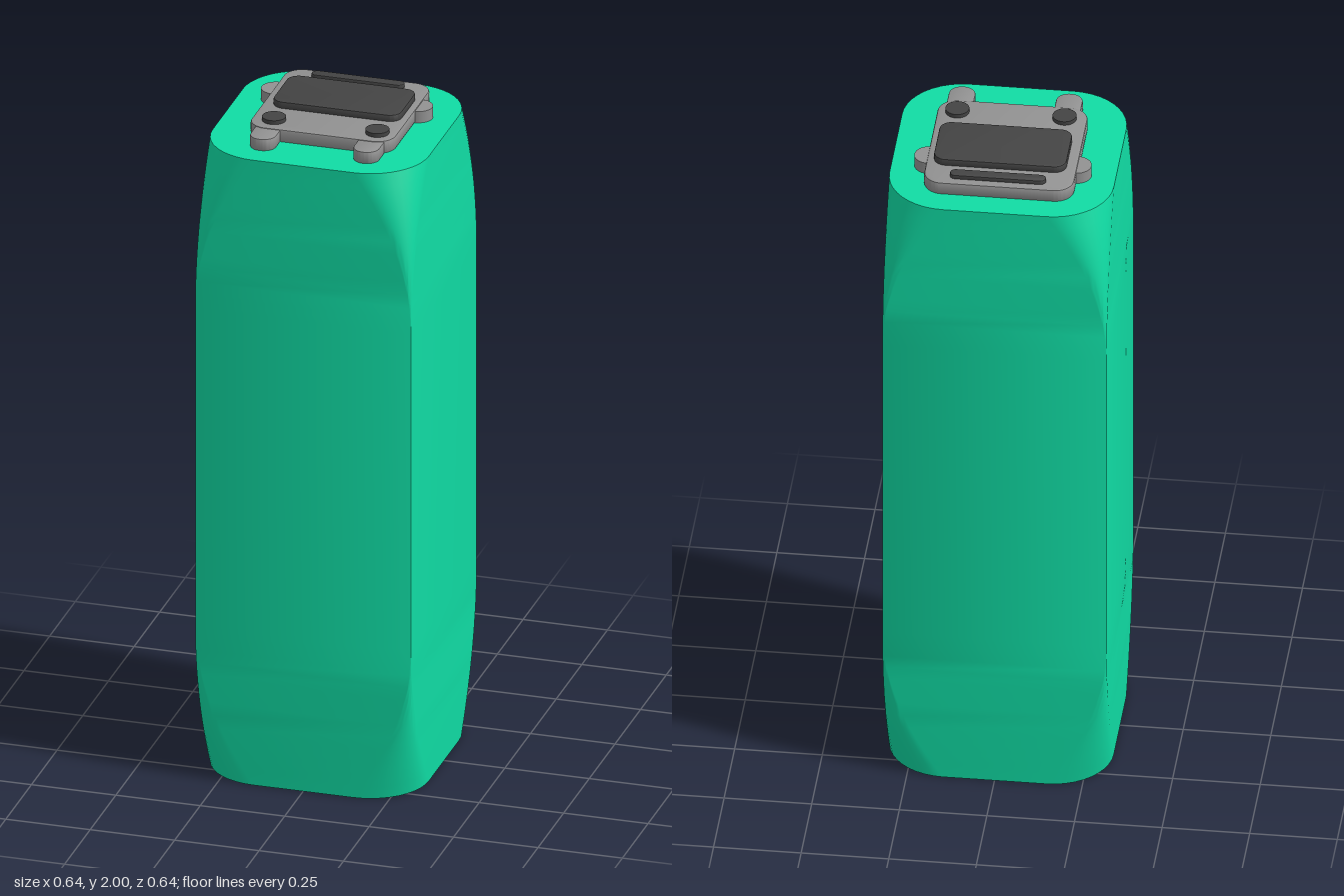
import * as THREE from 'three';
import { toCreasedNormals } from 'three/addons/utils/BufferGeometryUtils.js';

const green = new THREE.MeshStandardMaterial({ color: 0x10dca4 });
const grey = new THREE.MeshStandardMaterial({ color: 0x929292 });
const dark = new THREE.MeshStandardMaterial({ color: 0x444444 });

const HALF = 0.32, TOP = 1.94, TAPER = 0.48, END_RADIUS = 0.17, ARC = 10;

function add(parent, name, geometry, material) {
  const mesh = new THREE.Mesh(geometry, material);
  mesh.name = name;
  parent.add(mesh);
  return mesh;
}

// Square section whose corners are rounded by r, ordered from +x towards +z
function section(r) {
  const pts = [];
  for (let c = 0; c < 4; c++) {
    const sx = c === 0 || c === 3 ? 1 : -1, sz = c < 2 ? 1 : -1;
    for (let i = 0; i <= ARC; i++) {
      const a = (c + i / ARC) * Math.PI / 2;
      pts.push([sx * (HALF - r) + r * Math.cos(a), sz * (HALF - r) + r * Math.sin(a)]);
    }
  }
  return pts;
}

// Square column: sharp edges in the middle, rounding off towards both ends
function columnGeometry() {
  const heights = [], steps = 12;
  for (let i = 0; i <= steps; i++) heights.push(TAPER * i / steps);
  for (let i = 0; i <= steps; i++) heights.push(TOP - TAPER + TAPER * i / steps);
  const pos = [], idx = [], n = 4 * (ARC + 1);
  for (const y of heights) {
    const t = Math.max(0, 1 - Math.min(y, TOP - y) / TAPER);
    const r = 0.002 + END_RADIUS * t * t;
    for (const [x, z] of section(r)) pos.push(x, y, z);
  }
  for (let j = 0; j < heights.length - 1; j++) {
    for (let i = 0; i < n; i++) {
      const a = j * n + i, b = j * n + (i + 1) % n;
      idx.push(a, a + n, b, b, a + n, b + n);
    }
  }
  // flat end caps
  const last = (heights.length - 1) * n, bottom = pos.length / 3;
  pos.push(0, 0, 0, 0, TOP, 0);
  for (let i = 0; i < n; i++) {
    const k = (i + 1) % n;
    idx.push(bottom, i, k, bottom + 1, last + k, last + i);
  }
  const g = new THREE.BufferGeometry();
  g.setAttribute('position', new THREE.Float32BufferAttribute(pos, 3));
  g.setIndex(idx);
  return toCreasedNormals(g, 0.6);
}

// Rounded plate lying flat between y0 and y1, with a small bevel
function plate(x0, x1, z0, z1, r, y0, y1, bevel) {
  const b = bevel, s = new THREE.Shape();
  const l = x0 + b, w = x1 - b, d = -z1 + b, u = -z0 - b, q = r - b;
  s.moveTo(l + q, d);
  s.lineTo(w - q, d);
  s.absarc(w - q, d + q, q, -Math.PI / 2, 0);
  s.lineTo(w, u - q);
  s.absarc(w - q, u - q, q, 0, Math.PI / 2);
  s.lineTo(l + q, u);
  s.absarc(l + q, u - q, q, Math.PI / 2, Math.PI);
  s.lineTo(l, d + q);
  s.absarc(l + q, d + q, q, Math.PI, Math.PI * 1.5);
  const g = new THREE.ExtrudeGeometry(s, {
    depth: y1 - y0 - 2 * b, bevelEnabled: true, bevelThickness: b, bevelSize: b,
    bevelSegments: 2, curveSegments: 10,
  });
  g.rotateX(-Math.PI / 2);
  g.translate(0, y0 + b, 0);
  return toCreasedNormals(g, 0.6);
}

export function createModel() {
  const model = new THREE.Group();
  model.name = 'column';
  add(model, 'body', columnGeometry(), green);

  // Control panel on the top face
  const panel = new THREE.Group();
  panel.name = 'topPanel';
  model.add(panel);
  add(panel, 'panelPlate', plate(-0.212, 0.216, -0.245, 0.18, 0.055, TOP, 1.98, 0.006), grey);
  add(panel, 'screen', plate(-0.182, 0.196, -0.155, 0.038, 0.035, 1.975, 2.0, 0.004), dark);
  add(panel, 'slotBar', plate(-0.133, 0.141, -0.22, -0.186, 0.0165, 1.975, 1.992, 0.003), dark);

  for (const side of [-1, 1]) {
    const label = side > 0 ? 'left' : 'right';
    const x = 0.004 + side * 0.153;
    // Round lug at the side
    const lug = add(panel, label + 'SideLug', new THREE.CylinderGeometry(0.043, 0.043, 0.035, 28), grey);
    lug.position.set(0.002 + side * 0.21, 1.9585, -0.102);
    // Front lug, rounded at its outer end
    add(panel, label + 'FrontLug', plate(x - 0.038, x + 0.038, 0.14, 0.254, 0.037, TOP, 1.977, 0.004), grey);
    // Button
    const button = add(panel, label + 'Button', new THREE.CylinderGeometry(0.034, 0.034, 0.017, 28), dark);
    button.position.set(x + 0.002, 1.9835, 0.12);
  }
  return model;
}
